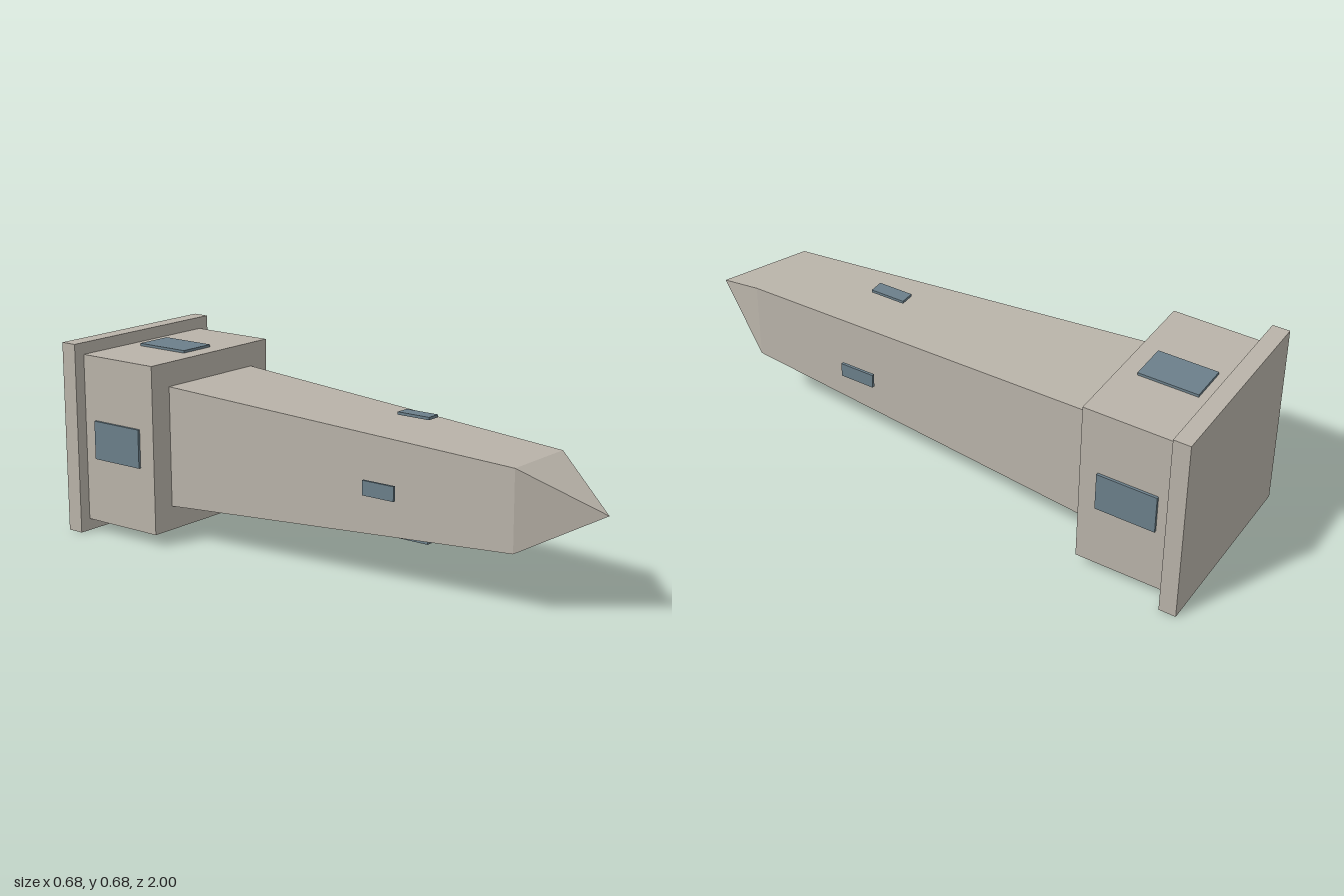
import * as THREE from 'three';

const stone = new THREE.MeshStandardMaterial({ color: 0xb9b3a9, flatShading: true });
stone.name = 'stone';
const glass = new THREE.MeshStandardMaterial({ color: 0x6b7f8a });
glass.name = 'blue glass';

// Square section running along z, from half-width a at z0 to half-width b at z1
function squareTaper(name, a, b, z0, z1) {
  const g = new THREE.CylinderGeometry(b * Math.SQRT2, a * Math.SQRT2, z1 - z0, 4);
  g.rotateY(Math.PI / 4).rotateX(Math.PI / 2);
  const mesh = new THREE.Mesh(g, stone);
  mesh.name = name;
  mesh.position.z = (z0 + z1) / 2;
  return mesh;
}

// Four matching plates, one on each side of the axis
function windowRing(name, width, z0, z1, inner, outer) {
  const ring = new THREE.Group();
  ring.name = name;
  for (let i = 0; i < 4; i++) {
    const g = new THREE.BoxGeometry(width, outer - inner, z1 - z0);
    g.translate(0, (inner + outer) / 2, (z0 + z1) / 2);
    g.rotateZ(i * Math.PI / 2);
    const plate = new THREE.Mesh(g, glass);
    plate.name = name + 'Plate';
    ring.add(plate);
  }
  return ring;
}

export function createModel() {
  const tower = new THREE.Group();
  tower.name = 'obeliskTower';
  tower.add(
    squareTaper('basePlinth', 0.34, 0.34, -1, -0.94),
    squareTaper('lowerBlock', 0.298, 0.298, -0.94, -0.617),
    squareTaper('shaft', 0.213, 0.137, -0.617, 0.745),
    squareTaper('pointedTip', 0.137, 0, 0.745, 1),
    windowRing('lowerWindow', 0.137, -0.89, -0.68, 0.298, 0.307),
    // Upper plates stand clear of the tapering shaft
    windowRing('upperWindow', 0.05, 0.217, 0.342, 0.204, 0.2135),
  );
  tower.position.y = 0.341;
  const model = new THREE.Group();
  model.name = 'lyingObelisk';
  model.add(tower);
  return model;
}
